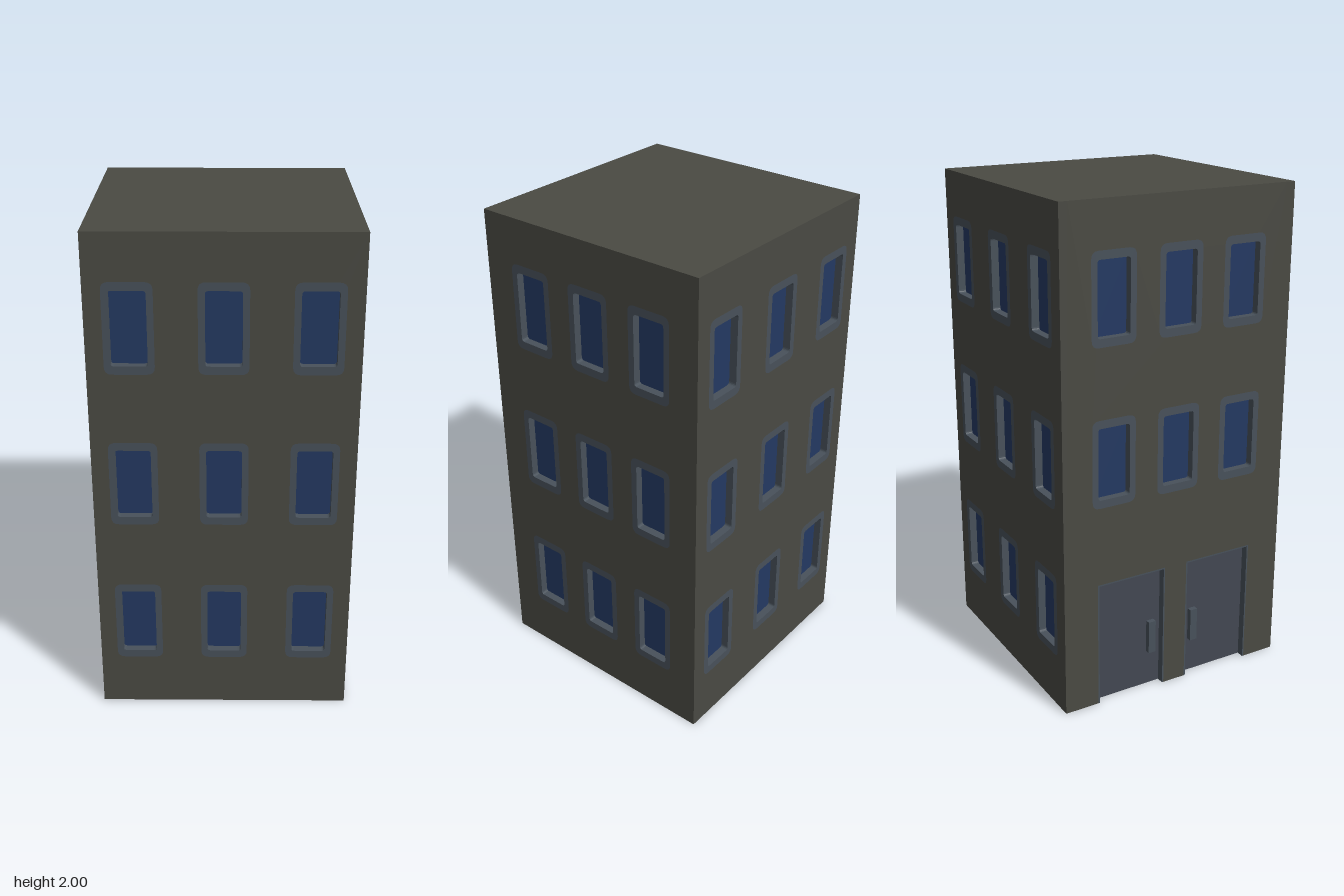
import * as THREE from 'three';

const D = 0.035; // depth of wall panels and reveals
const H = 2;
const ROWS = [0.395, 1.02, 1.645];
const DOOR = { inner: 0.05, outer: 0.355, top: 0.525 };

const material = (name, color) => {
  const m = new THREE.MeshStandardMaterial({ color });
  m.name = name;
  return m;
};

// Closed rounded rectangle path centred on (cx, cy)
function roundRect(path, cx, cy, w, h, r) {
  const x0 = cx - w / 2, x1 = cx + w / 2, y0 = cy - h / 2, y1 = cy + h / 2;
  path.moveTo(x0 + r, y0);
  path.lineTo(x1 - r, y0);
  path.quadraticCurveTo(x1, y0, x1, y0 + r);
  path.lineTo(x1, y1 - r);
  path.quadraticCurveTo(x1, y1, x1 - r, y1);
  path.lineTo(x0 + r, y1);
  path.quadraticCurveTo(x0, y1, x0, y1 - r);
  path.lineTo(x0, y0 + r);
  path.quadraticCurveTo(x0, y0, x0 + r, y0);
  return path;
}

const frameOuter = (path, x, y) => roundRect(path, x, y, 0.185, 0.35, 0.03);
const frameInner = (path, x, y) => roundRect(path, x, y, 0.135, 0.285, 0.012);

export function createModel() {
  const wallMat = material('wall', 0x4a4a43);
  const frameMat = material('frame', 0x48515a);
  const glassMat = material('glass', 0x243962);
  const doorMat = material('door', 0x434852);

  const extrude = (shape) =>
    new THREE.ExtrudeGeometry(shape, { depth: D, bevelEnabled: false, curveSegments: 4 });

  const add = (parent, name, geometry, mat, x = 0, y = 0, z = 0) => {
    const mesh = new THREE.Mesh(geometry, mat);
    mesh.name = name;
    mesh.position.set(x, y, z);
    parent.add(mesh);
    return mesh;
  };

  const box = (parent, name, mat, w, h, d, x, y, z) =>
    add(parent, name, new THREE.BoxGeometry(w, h, d), mat, x, y, z);

  // Flush frame lining its opening, with the pane set back
  function addWindow(side, x, y) {
    const shape = frameOuter(new THREE.Shape(), x, y);
    shape.holes.push(frameInner(new THREE.Path(), x, y));
    add(side, 'windowFrame', extrude(shape), frameMat, 0, 0, 0.5 - D);
    box(side, 'windowPane', glassMat, 0.137, 0.287, 0.004, x, y, 0.5 - D + 0.002);
  }

  // Recessed door with thin lining and a handle near the centre post
  function addDoor(side, s) {
    const { inner, outer, top } = DOOR;
    const mid = s * (inner + outer) / 2, w = outer - inner, t = 0.006;
    const zMid = 0.5 - D / 2;
    box(side, 'doorPanel', doorMat, w, top, 0.004, mid, top / 2, 0.5 - D + 0.002);
    for (const x of [inner + t / 2, outer - t / 2])
      box(side, 'doorJamb', frameMat, t, top, D, s * x, top / 2, zMid);
    box(side, 'doorHead', frameMat, w - 2 * t, t, D, mid, top - t / 2, zMid);
    box(side, 'doorHandle', frameMat, 0.032, 0.14, 0.022, s * 0.1, 0.22, 0.5 - D + 0.014);
  }

  // One facade, built facing +z
  function makeSide(name, width, spacing, hasDoors) {
    const side = new THREE.Group();
    side.name = name;
    const w = width / 2;
    const outline = [[-w, 0]];
    if (hasDoors) {
      const { inner, outer, top } = DOOR;
      for (const [a, b] of [[-outer, -inner], [inner, outer]])
        outline.push([a, 0], [a, top], [b, top], [b, 0]);
    }
    outline.push([w, 0], [w, H], [-w, H]);
    const shape = new THREE.Shape(outline.map(([x, y]) => new THREE.Vector2(x, y)));
    for (const y of hasDoors ? ROWS.slice(1) : ROWS)
      for (const i of [-1, 0, 1]) {
        shape.holes.push(frameOuter(new THREE.Path(), i * spacing, y));
        addWindow(side, i * spacing, y);
      }
    add(side, 'wallPanel', extrude(shape), wallMat, 0, 0, 0.5 - D);
    if (hasDoors) for (const s of [-1, 1]) addDoor(side, s);
    return side;
  }

  const model = new THREE.Group();
  model.name = 'building';
  box(model, 'core', wallMat, 1 - 2 * D, H, 1 - 2 * D, 0, H / 2, 0);

  const sides = [
    ['frontSide', 1, 0.342, false, 0],
    ['leftSide', 1 - 2 * D, 0.283, false, Math.PI / 2],
    ['backSide', 1, 0.342, false, Math.PI],
    ['entranceSide', 1 - 2 * D, 0.283, true, -Math.PI / 2],
  ];
  for (const [name, width, spacing, hasDoors, angle] of sides) {
    const side = makeSide(name, width, spacing, hasDoors);
    side.rotation.y = angle;
    model.add(side);
  }
  return model;
}
